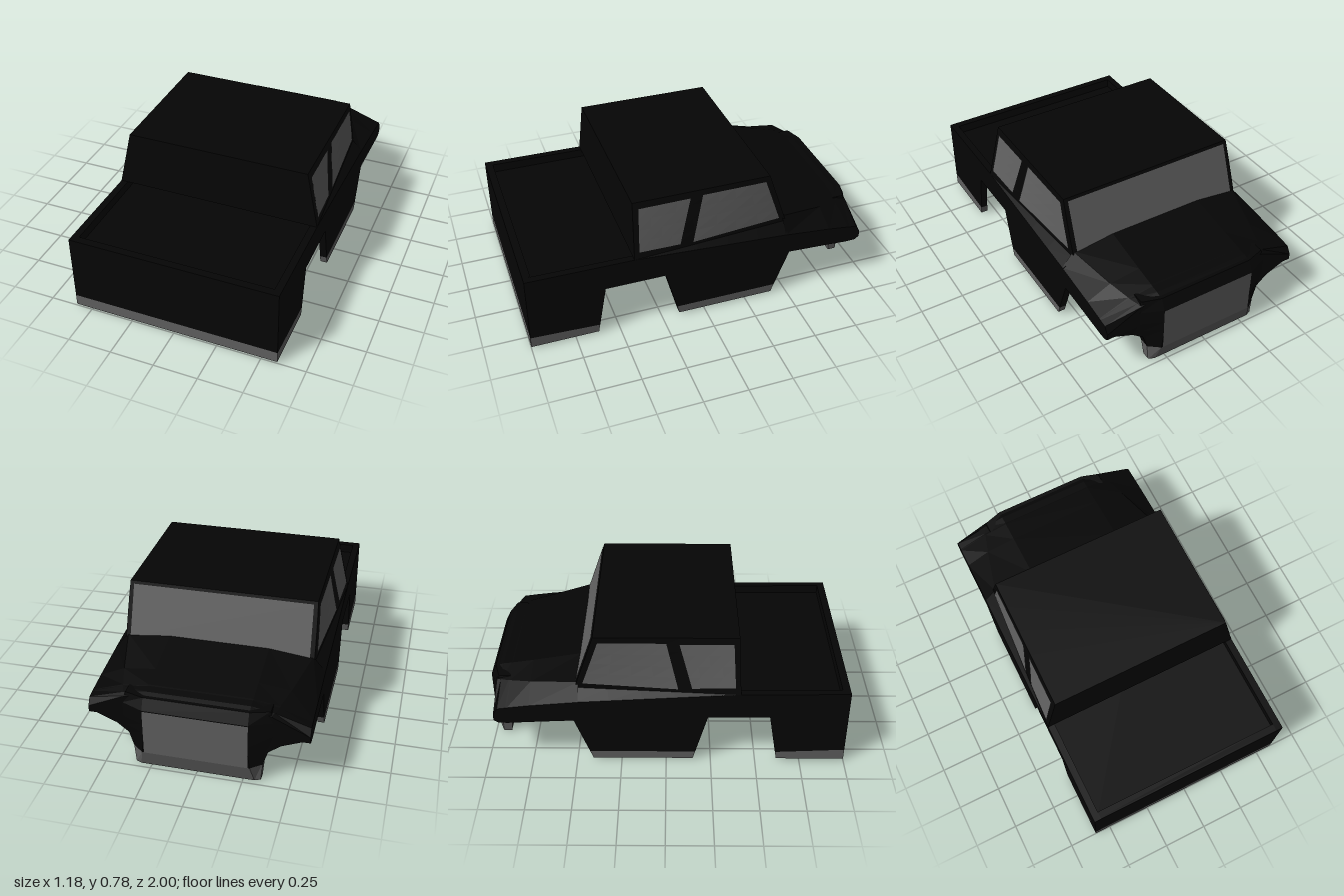
import * as THREE from 'three';

const paint = new THREE.MeshStandardMaterial({ color: 0x050505, flatShading: true, side: THREE.DoubleSide });
const grey = new THREE.MeshStandardMaterial({ color: 0x606060, flatShading: true, side: THREE.DoubleSide });

// Joins equal-length rings of [x, y, z] points into a flat-faced skin.
function loft(rings, capStart = true, capEnd = true) {
  const pos = [];
  const tri = (a, b, c) => pos.push(...a, ...b, ...c);
  const n = rings[0].length;
  for (let r = 0; r < rings.length - 1; r++) {
    for (let i = 0; i < n; i++) {
      const j = (i + 1) % n, a = rings[r], b = rings[r + 1];
      tri(a[i], a[j], b[j]);
      tri(a[i], b[j], b[i]);
    }
  }
  const cap = (ring, flip) => {
    for (let i = 1; i < n - 1; i++) {
      if (flip) tri(ring[0], ring[i + 1], ring[i]);
      else tri(ring[0], ring[i], ring[i + 1]);
    }
  };
  if (capStart) cap(rings[0], true);
  if (capEnd) cap(rings[rings.length - 1], false);
  const g = new THREE.BufferGeometry();
  g.setAttribute('position', new THREE.Float32BufferAttribute(pos, 3));
  g.computeVertexNormals();
  return g;
}

// Single four-cornered panel, corners counter-clockwise from outside.
function panel(corners) {
  const g = new THREE.BufferGeometry().setFromPoints(
    [0, 1, 2, 0, 2, 3].map(i => new THREE.Vector3(...corners[i])));
  g.computeVertexNormals();
  return g;
}

export function createModel() {
  const group = new THREE.Group();
  const add = (name, geometry, material = paint) => {
    const m = new THREE.Mesh(geometry, material);
    m.name = name;
    group.add(m);
    return m;
  };
  const box = (name, w, h, d, x, y, z, mat) =>
    add(name, new THREE.BoxGeometry(w, h, d), mat).position.set(x, y, z);
  const mix = THREE.MathUtils.lerp;

  // Extrudes a [z, y] outline into a side wall, on both sides of the body
  const wall = 0.04, half = 0.592;
  const sides = (name, outline, mat) => {
    const shape = new THREE.Shape(outline.map(([z, y]) => new THREE.Vector2(-z, y)));
    for (const [label, x] of [['left', half - wall], ['right', -half]]) {
      const g = new THREE.ExtrudeGeometry(shape, { depth: wall, bevelEnabled: false });
      g.rotateY(Math.PI / 2).translate(x, 0, 0);
      add(label + name, g, mat);
    }
  };

  // Body sides with wheel arches, and the grey sill strips below
  sides('BodySide', [
    [1, 0.075], [1, 0.465], [0.4, 0.46], [-0.49, 0.405], [-0.51, 0.28], [-0.428, 0.058],
    [0.163, 0.058], [0.23, 0.305], [0.57, 0.305], [0.612, 0.057],
  ]);
  sides('RearSill', [[1, 0.01], [1, 0.075], [0.612, 0.057], [0.62, 0.01]], grey);
  sides('MiddleSill', [[0.15, 0.01], [0.163, 0.058], [-0.428, 0.058], [-0.41, 0.01]], grey);

  // Tailgate, its sill and the floor
  const inner = 2 * (half - wall);
  box('tailgate', inner, 0.455, 0.035, 0, 0.2375, 0.975);
  box('tailgateSill', inner, 0.065, 0.008, 0, 0.0425, 0.996, grey);
  box('tailgateSkin', inner, 0.39, 0.008, 0, 0.27, 0.996);
  box('floor', inner, 0.012, 1.46, 0, 0.406, 0.23);

  // Cab: the waist narrows towards the front and the sides lean in to the roof
  const sideX = (y, z) => mix(half - 0.062 * (0.4 - z) / 0.9, 0.522, (y - 0.46) / 0.32);
  const shieldZ = y => mix(-0.5, -0.39, (y - 0.46) / 0.32);
  const steps = [0, 0.2, 0.4, 0.6, 0.8, 1];
  const mirrored = left => [...left, ...left.map(([x, y, z]) => [-x, y, z]).reverse()];
  const cabRing = y => mirrored(steps.map(t => {
    const z = mix(mix(0.405, 0.39, (y - 0.46) / 0.32), shieldZ(y), t);
    return [sideX(y, z), y, z];
  }));
  const cabBase = mirrored(steps.map(t => [half, mix(0.46, 0.405, t), mix(0.405, -0.49, t)]));
  add('cab', loft([cabBase, ...[0.46, 0.54, 0.62, 0.7, 0.78].map(cabRing)], false));

  // Side windows follow the cab sides
  const windows = {
    RearWindow: [[0.375, 0.5], [0.14, 0.487], [0.07, 0.745], [0.36, 0.745]],
    FrontWindow: [[0.065, 0.48], [-0.455, 0.492], [-0.365, 0.75], [0.0, 0.75]],
  };
  for (const [name, [a, b, c, d]] of Object.entries(windows)) {
    for (const [label, s] of [['left', 1], ['right', -1]]) {
      const g = new THREE.PlaneGeometry(1, 1, 4, 4);
      const p = g.attributes.position;
      for (let i = 0; i < p.count; i++) {
        const u = 0.5 + s * p.getX(i), v = p.getY(i) + 0.5;
        const z = mix(mix(a[0], b[0], u), mix(d[0], c[0], u), v);
        const y = mix(mix(a[1], b[1], u), mix(d[1], c[1], u), v);
        p.setXYZ(i, s * (sideX(y, z) + 0.005), y, z);
      }
      g.computeVertexNormals();
      add(label + name, g, grey);
    }
  }

  // Windshield
  add('windshield', panel([[-0.5, 0.765], [0.5, 0.765], [0.505, 0.48], [-0.505, 0.48]]
    .map(([x, y]) => [x, y, shieldZ(y) - 0.004])), grey);

  // Hood and lower fenders: a channel that closes into a solid nose at the front
  const hoodRing = (z, crown, edge, bottom, inside, ridge) => mirrored([
    [0.55, inside, z], [0.55, bottom, z], [half, bottom, z], [half, edge, z],
    [ridge, crown - 0.022, z], [0.28, crown, z]]);
  add('hood', loft([
    hoodRing(-0.48, 0.512, 0.405, 0.28, 0.37, 0.522),
    hoodRing(-0.75, 0.465, 0.38, 0.267, 0.34, 0.455),
    hoodRing(-0.87, 0.447, 0.365, 0.26, 0.33, 0.42),
    hoodRing(-0.88, 0.445, 0.363, 0.26, 0.261, 0.418),
    hoodRing(-0.925, 0.44, 0.357, 0.262, 0.262, 0.4),
    hoodRing(-0.95, 0.432, 0.315, 0.28, 0.28, 0.39),
  ], false, true));

  // Nose block with angled corners, flaring out under the fenders
  const noseRing = (y, front, frontW, corner, cornerW, sideW, back) => mirrored([
    [sideW, y, back], [sideW, y, corner + 0.004], [cornerW, y, corner], [frontW, y, front]]);
  const noseLow = noseRing(0.1, -1, 0.29, -0.957, 0.345, 0.35, -0.895);
  add('nose', loft([
    noseLow,
    noseRing(0.18, -1, 0.28, -0.953, 0.36, 0.375, -0.885),
    noseRing(0.23, -1, 0.28, -0.95, 0.385, 0.44, -0.875),
    noseRing(0.285, -1, 0.28, -0.95, 0.4, 0.57, -0.872),
    noseRing(0.31, -1, 0.28, -0.95, 0.4, 0.41, -0.87),
    noseRing(0.37, -1, 0.28, -0.95, 0.4, 0.405, -0.87),
    noseRing(0.432, -0.97, 0.28, -0.94, 0.38, 0.385, -0.87),
  ]));
  add('noseLowerEdge',
    loft([noseRing(0, -0.97, 0.31, -0.957, 0.34, 0.342, -0.91), noseLow]), grey);

  // Grey front plate
  add('frontPlate', panel([[0.28, 0.1, -1.001], [-0.28, 0.1, -1.001],
    [-0.28, 0.365, -1.001], [0.28, 0.365, -1.001]]), grey);

  return group;
}
